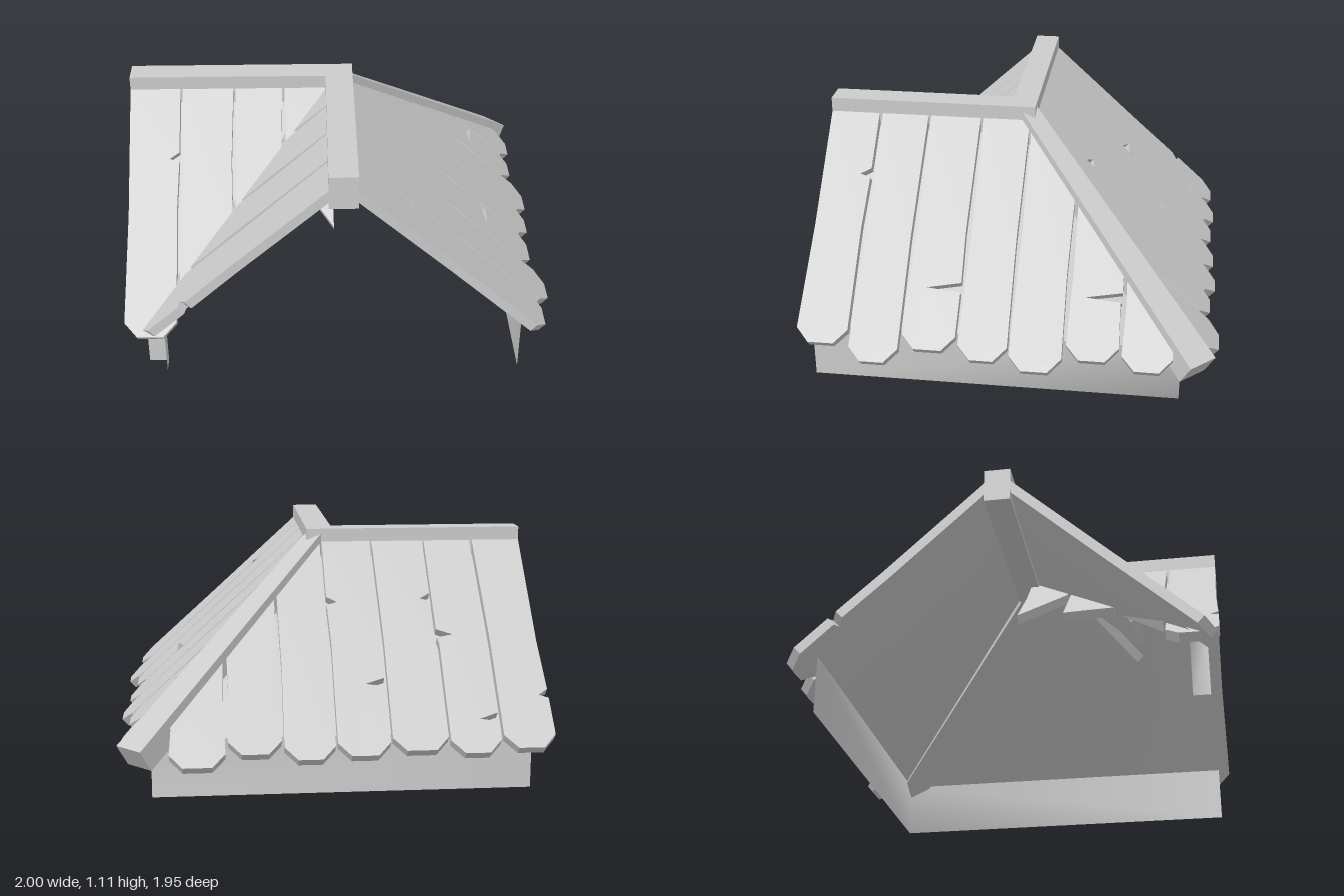
import * as THREE from 'three';

const CX = 0.005, CZ = 0.02;          // point where the two ridges meet
const TOP = 1.1, PITCH = 0.91;        // plank surface: y = TOP - PITCH * d
const THICK = 0.045;

const wood = new THREE.MeshStandardMaterial({ color: 0xcccccc, flatShading: true });
const lining = new THREE.MeshStandardMaterial({ color: 0xcccccc, side: THREE.DoubleSide });

function add(parent, name, geometry, material = wood) {
  const mesh = new THREE.Mesh(geometry, material);
  mesh.name = name;
  parent.add(mesh);
  return mesh;
}

// Points down one long side of a plank: a slight waist and an optional crack.
// inward is +1 or -1; crack is [distance from ridge, depth].
function sidePoints(u, from, to, inward, crack) {
  const pts = [[u, from], [u + inward * 0.007, from + (to - from) * 0.55], [u, to]];
  if (crack) {
    const [d, depth] = crack;
    pts.push([u, d - 0.015], [u + inward * depth, d + 0.008], [u, d + 0.02]);
  }
  return pts.sort((p, q) => p[1] - q[1]);
}

// Plank outline is drawn in (u along the ridge, d away from it), then laid on the pitch.
function plankGeometry({ a, b, end, endB, crackA, crackB }, hip) {
  const start = u => Math.max(0.05, hip * u);
  const cut = endB !== undefined;     // plain slanted end instead of a clipped eave
  const chamfer = 0.05;
  const sideA = sidePoints(a, start(a), cut ? end : end - chamfer, 1, crackA);
  const sideB = sidePoints(b, start(b), cut ? endB : end - chamfer, -1, crackB);
  const eave = cut ? [] : [[b - 0.06, end], [a + 0.06, end]];
  const outline = [...sideB, ...eave, ...sideA.reverse()].map(p => new THREE.Vector2(...p));
  const geo = new THREE.ExtrudeGeometry(new THREE.Shape(outline), { depth: THICK, bevelEnabled: false });

  const pos = geo.attributes.position, len = Math.hypot(1, PITCH);
  for (let i = 0; i < pos.count; i++) {
    const u = pos.getX(i), d = pos.getY(i), t = pos.getZ(i) - THICK;
    pos.setXYZ(i, u, TOP - PITCH * d + t / len, -(d + t * PITCH / len));
  }
  geo.computeVertexNormals();
  return geo;
}

// Four slopes; hip says which way the planks are trimmed along the hip.
const slopes = [
  { name: 'backSlope', yaw: 0, hip: 1, planks: [
    { a: -1.005, b: -0.768, end: 0.955, crackA: [0.74, 0.045] },
    { a: -0.755, b: -0.523, end: 0.97, crackA: [0.83, 0.085], crackB: [0.48, 0.075] },
    { a: -0.515, b: -0.26, end: 0.955, crackA: [0.32, 0.05] },
    { a: -0.25, b: -0.01, end: 0.97, crackA: [0.68, 0.09], crackB: [0.33, 0.05] },
    { a: 0, b: 0.23, end: 0.98 },
    { a: 0.24, b: 0.48, end: 0.955 },
    { a: 0.492, b: 0.742, end: 1.0 } ] },
  { name: 'rightSlope', yaw: -Math.PI / 2, hip: -1, planks: [
    { a: 0.715, b: 0.955, end: 0.94, crackA: [0.3, 0.05] },
    { a: 0.47, b: 0.7, end: 0.995 },
    { a: 0.21, b: 0.458, end: 0.94, crackA: [0.71, 0.16] },
    { a: -0.035, b: 0.195, end: 0.965 },
    { a: -0.287, b: -0.045, end: 0.99 },
    { a: -0.543, b: -0.303, end: 0.94, crackA: [0.71, 0.17] },
    { a: -0.79, b: -0.557, end: 0.965 } ] },
  { name: 'innerFrontSlope', yaw: Math.PI, hip: 0, planks: [
    { a: 0.765, b: 1.005, end: 0.945, crackA: [0.31, 0.045] },
    { a: 0.51, b: 0.755, end: 0.55, endB: 0.82 },
    { a: 0.275, b: 0.5, end: 0.6, endB: 0.58 },
    { a: 0.035, b: 0.265, end: 0.57, endB: 0.33 } ] },
  { name: 'innerLeftSlope', yaw: Math.PI / 2, hip: 0, planks: [
    { a: -0.955, b: -0.722, end: 0.94, crackA: [0.73, 0.04] },
    { a: -0.71, b: -0.485, end: 0.8, endB: 0.53 },
    { a: -0.475, b: -0.238, end: 0.56, endB: 0.58 },
    { a: -0.228, b: -0.02, end: 0.33, endB: 0.57 } ] },
];

// Sheet that turns the corner along a mitre between two profile points [offset, y].
function corneredStrip(p, q) {
  const row = ([s, y]) => [-0.91, y, CZ - s, CX + s, y, CZ - s, CX + s, y, 0.92];
  const geo = new THREE.BufferGeometry();
  geo.setAttribute('position', new THREE.Float32BufferAttribute([...row(p), ...row(q)], 3));
  geo.setIndex([0, 3, 1, 1, 3, 4, 1, 4, 2, 2, 4, 5]);
  geo.computeVertexNormals();
  return geo;
}

export function createModel() {
  const model = new THREE.Group();
  model.name = 'cornerRoof';

  // Plank covering
  for (const { name, yaw, hip, planks } of slopes) {
    const slope = new THREE.Group();
    slope.name = name;
    slope.position.set(CX, 0, CZ);
    slope.rotation.y = yaw;
    for (const plank of planks) add(slope, 'plank', plankGeometry(plank, hip));
    model.add(slope);
  }

  // Low walls and the lining under the planks, from outer wall to inner wall
  const profile = [[0.825, 0], [0.825, 0.27], [0, 1.025], [-0.825, 0.27], [-0.825, 0]];
  const names = ['outerWall', 'outerLining', 'innerLining', 'innerWall'];
  names.forEach((name, i) => {
    // wind so that the lit side faces out of the roof
    const geo = corneredStrip(profile[i], profile[i + 1]);
    const n = geo.attributes.normal;
    const outward = i === 0 ? n.getX(1) > 0 : i === 3 ? n.getX(1) < 0 : n.getY(1) > 0;
    if (!outward) {
      geo.setIndex([...geo.index.array].reverse());
      geo.computeVertexNormals();
    }
    add(model, name, geo, lining);
  });

  // Ridge beams
  add(model, 'sideRidgeBeam', new THREE.BoxGeometry(1.07, 0.16, 0.12)).position.set(-0.465, 1.03, CZ);
  add(model, 'frontRidgeBeam', new THREE.BoxGeometry(0.13, 0.16, 1.015)).position.set(CX, 1.03, 0.4675);

  // Hip beam, widening towards the eave
  const from = new THREE.Vector3(CX, 1.11, CZ), to = new THREE.Vector3(0.925, 0.262, -0.905);
  const length = from.distanceTo(to);
  const hipGeo = new THREE.BoxGeometry(0.155, 0.12, length);
  hipGeo.translate(0, -0.06, length / 2);
  const pos = hipGeo.attributes.position;
  for (let i = 0; i < pos.count; i++) {
    if (pos.getZ(i) < 0.01) pos.setX(i, pos.getX(i) * 0.6);
  }
  hipGeo.computeVertexNormals();
  const hip = add(model, 'hipBeam', hipGeo);
  hip.position.copy(from);
  hip.lookAt(to);

  return model;
}
